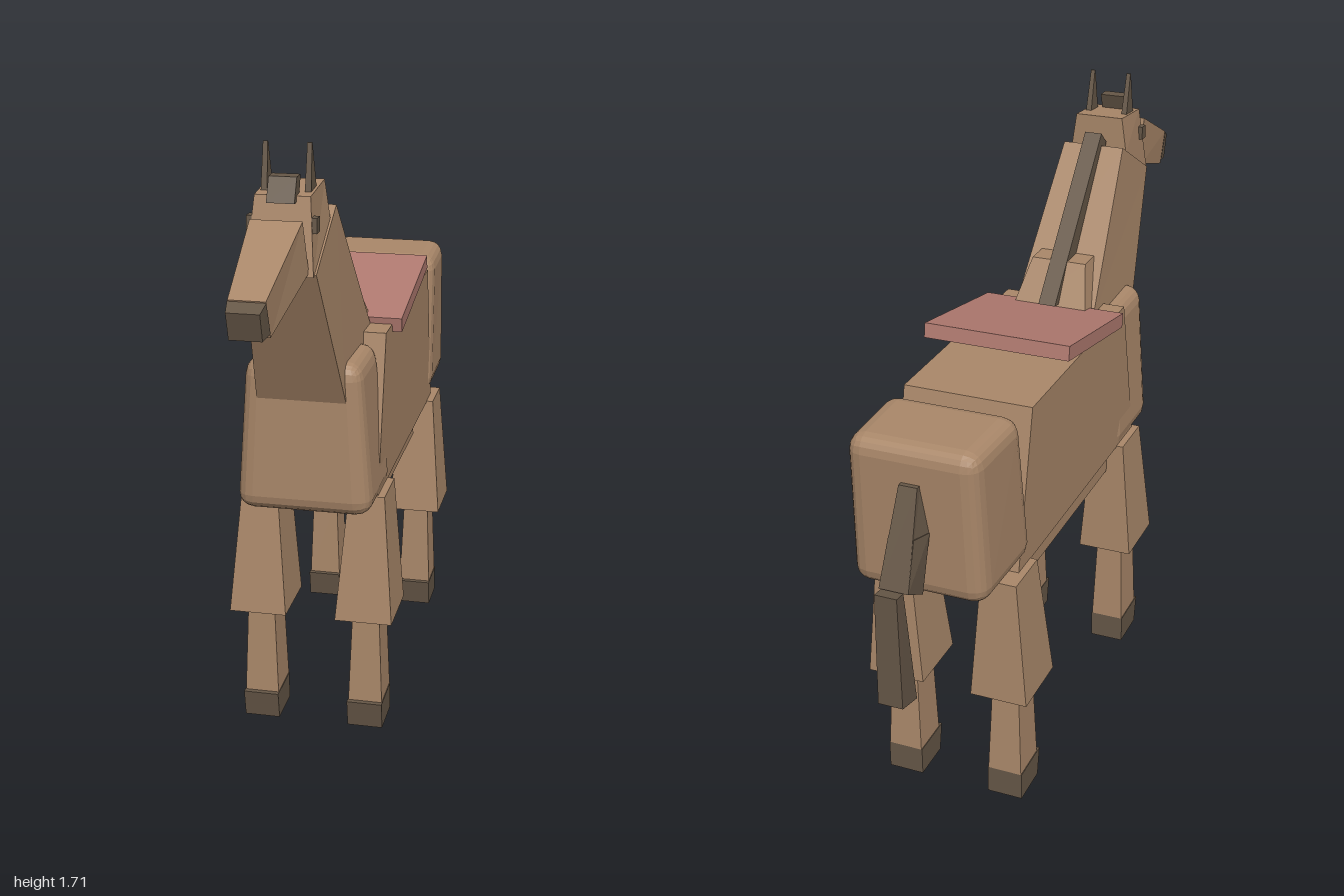
import * as THREE from 'three';
import { RoundedBoxGeometry } from 'three/addons/geometries/RoundedBoxGeometry.js';

const material = (name, color) => {
  const m = new THREE.MeshStandardMaterial({ color });
  m.name = name;
  return m;
};

// Warp a unit box so its side profile becomes four corners [z, y, halfWidth],
// listed as front bottom, front top, back top, back bottom.
function warp(geometry, corners, cx = 0) {
  const g = geometry.index ? geometry.toNonIndexed() : geometry;
  const p = g.attributes.position;
  const [fb, ft, bt, bb] = corners;
  for (let i = 0; i < p.count; i++) {
    const u = p.getX(i) * 2, v = p.getY(i) + 0.5, t = p.getZ(i) + 0.5;
    const mix = (k) =>
      t * ((1 - v) * fb[k] + v * ft[k]) + (1 - t) * ((1 - v) * bb[k] + v * bt[k]);
    p.setXYZ(i, cx + u * mix(2), mix(1), mix(0));
  }
  g.computeVertexNormals();
  return g;
}

export function createModel() {
  const coat = material('tan coat', 0xa98769);
  const dark = material('dark hair and hoof', 0x665747);
  const cloth = material('saddle red', 0xb07a70);
  const horse = new THREE.Group();
  horse.name = 'horse';

  const add = (name, mat, geometry, parent = horse) => {
    const mesh = new THREE.Mesh(geometry, mat);
    mesh.name = name;
    parent.add(mesh);
  };
  const block = (name, mat, corners, cx = 0, parent = horse) =>
    add(name, mat, warp(new THREE.BoxGeometry(1, 1, 1), corners, cx), parent);

  // Bevelled block: round a box of the given size, then scale it to a unit box
  const softBlock = (name, size, corners) => {
    const g = new RoundedBoxGeometry(...size, 2, 0.045);
    g.scale(1 / size[0], 1 / size[1], 1 / size[2]);
    add(name, coat, warp(g, corners));
  };

  // Trunk
  block('barrel', coat, [[0.3, 0.7, 0.18], [0.2, 1.135, 0.18], [-0.5, 1.135, 0.18], [-0.6, 0.7, 0.18]]);
  block('belly', coat, [[0.16, 0.615, 0.15], [0.16, 0.72, 0.15], [-0.435, 0.72, 0.15], [-0.455, 0.615, 0.15]]);
  softBlock('chest', [0.35, 0.42, 0.28],
    [[0.44, 0.685, 0.187], [0.44, 1.113, 0.155], [0.2, 1.113, 0.155], [0.12, 0.685, 0.187]]);
  softBlock('rump', [0.37, 0.43, 0.28],
    [[-0.515, 0.725, 0.19], [-0.58, 1.155, 0.185], [-0.85, 1.155, 0.175], [-0.83, 0.725, 0.185]]);

  // Neck, withers and mane
  block('neck', coat, [[0.44, 1.01, 0.12], [0.65, 1.405, 0.09], [0.42, 1.53, 0.09], [0.1, 1.12, 0.12]]);
  block('withers', coat, [[0.29, 1.12, 0.115], [0.26, 1.27, 0.08], [0.145, 1.27, 0.08], [0.05, 1.12, 0.115]]);
  block('mane', dark, [[0.2, 1.15, 0.025], [0.46, 1.53, 0.025], [0.417, 1.567, 0.025], [0.05, 1.17, 0.025]]);
  block('throatTuft', dark, [[0.58, 1.285, 0.022], [0.652, 1.4, 0.022], [0.6, 1.42, 0.022], [0.55, 1.31, 0.022]]);

  // Head
  block('cranium', coat, [[0.66, 1.4, 0.085], [0.62, 1.59, 0.07], [0.465, 1.603, 0.07], [0.465, 1.5, 0.085]]);
  block('muzzle', coat, [[0.925, 1.325, 0.045], [0.963, 1.42, 0.045], [0.685, 1.543, 0.065], [0.652, 1.41, 0.072]]);
  block('nose', dark, [[0.978, 1.33, 0.04], [1.0, 1.4, 0.04], [0.963, 1.417, 0.046], [0.928, 1.335, 0.046]]);
  block('forelock', dark, [[0.643, 1.575, 0.035], [0.615, 1.635, 0.035], [0.575, 1.635, 0.035], [0.595, 1.575, 0.035]]);
  for (const s of [-1, 1]) {
    block('ear', dark, [[0.585, 1.585, 0.008], [0.563, 1.71, 0.006], [0.559, 1.71, 0.006], [0.525, 1.595, 0.008]], s * 0.055);
    block('eye', dark, [[0.633, 1.502, 0.01], [0.63, 1.54, 0.01], [0.602, 1.54, 0.01], [0.602, 1.502, 0.01]], s * 0.078);
  }

  // Legs: front and back z of each section, mirrored left and right
  const legs = {
    frontLeg: { top: [0.31, 0.16], knee: [0.353, 0.155], shinTop: [0.31, 0.2], shin: [0.315, 0.19], hoofTop: [0.33, 0.19] },
    hindLeg: { top: [-0.52, -0.665], knee: [-0.48, -0.675], shinTop: [-0.525, -0.625], shin: [-0.52, -0.637], hoofTop: [-0.505, -0.637] },
  };
  const section = (lower, y0, w0, upper, y1, w1) =>
    [[lower[0], y0, w0], [upper[0], y1, w1], [upper[1], y1, w1], [lower[1], y0, w0]];
  for (const [name, l] of Object.entries(legs)) {
    for (const s of [-1, 1]) {
      const leg = new THREE.Group();
      leg.name = name;
      horse.add(leg);
      block('upperLeg', coat, section(l.knee, 0.343, 0.08, l.top, 0.703, 0.05), s * 0.15, leg);
      block('shin', coat, section(l.shin, 0.08, 0.048, l.shinTop, 0.343, 0.038), s * 0.15, leg);
      block('hoof', dark, section(l.shin, 0, 0.05, l.hoofTop, 0.08, 0.05), s * 0.15, leg);
    }
  }

  // Tail
  block('tailDock', dark, [[-0.835, 0.92, 0.045], [-0.84, 1.055, 0.025], [-0.858, 1.055, 0.025], [-0.957, 0.815, 0.04]]);
  block('tailMiddle', dark, [[-0.877, 0.77, 0.04], [-0.838, 0.925, 0.045], [-0.905, 0.937, 0.034], [-0.957, 0.815, 0.04]]);
  block('tailEnd', dark, [[-0.92, 0.485, 0.034], [-0.963, 0.82, 0.03], [-1.0, 0.825, 0.03], [-1.0, 0.505, 0.034]]);

  // Saddle pad
  block('saddlePad', cloth, [[0.107, 1.113, 0.207], [0.114, 1.153, 0.207], [-0.31, 1.229, 0.207], [-0.317, 1.189, 0.207]]);

  return horse;
}
